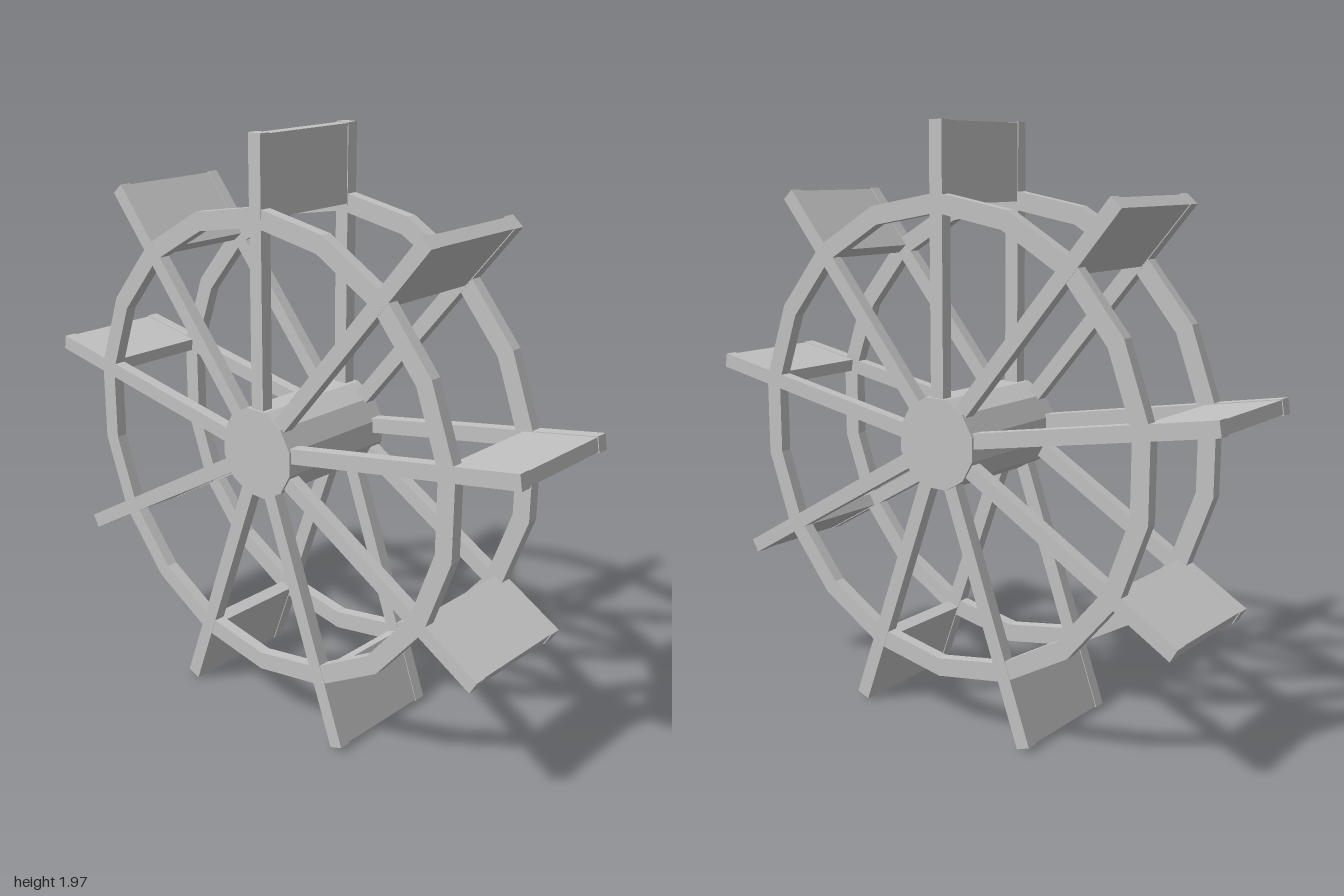
import * as THREE from 'three';

const SPOKES = 9;
const CENTRE_Y = 0.958;
const OUTER = 1.012; // spoke tip radius
const SIDE_Z = 0.198; // middle of each side frame
const SIDE_DEPTH = 0.041;

// Regular polygon with its first corner straight up
function polygon(PathType, radius, sides) {
  const path = new PathType();
  for (let i = 0; i < sides; i++) {
    const a = Math.PI / 2 + (i / sides) * Math.PI * 2;
    const x = radius * Math.cos(a), y = radius * Math.sin(a);
    if (i === 0) path.moveTo(x, y);
    else path.lineTo(x, y);
  }
  path.closePath();
  return path;
}

export function createModel() {
  const material = new THREE.MeshStandardMaterial({ color: 0xc2c2c2, flatShading: true });
  material.name = 'plain grey';

  const model = new THREE.Group();
  model.name = 'paddleWheel';
  const wheel = new THREE.Group();
  wheel.name = 'wheel';
  wheel.position.y = CENTRE_Y;
  model.add(wheel);

  const add = (parent, geometry, name) => {
    const mesh = new THREE.Mesh(geometry, material);
    mesh.name = name;
    parent.add(mesh);
    return mesh;
  };

  // Hub drum: twelve sides, flat on top
  const hub = new THREE.CylinderGeometry(0.153, 0.153, 0.454, 12, 1, false, Math.PI / 12);
  hub.rotateX(Math.PI / 2);
  add(wheel, hub, 'hub');

  // Two faceted rims, a corner at and between every spoke
  const ring = polygon(THREE.Shape, 0.792, SPOKES * 2);
  ring.holes.push(polygon(THREE.Path, 0.73, SPOKES * 2));
  const rimDepth = SIDE_DEPTH - 0.002;
  const rimGeometry = new THREE.ExtrudeGeometry(ring, { depth: rimDepth, bevelEnabled: false });
  rimGeometry.translate(0, 0, -rimDepth / 2);

  // Spokes and paddles point up, then are turned into place
  const spokeGeometry = new THREE.BoxGeometry(0.05, OUTER - 0.1, SIDE_DEPTH);
  spokeGeometry.translate(0, (OUTER + 0.1) / 2, 0);
  const inner = 0.755, outer = OUTER - 0.003;
  const paddleGeometry = new THREE.BoxGeometry(0.044, outer - inner, SIDE_Z * 2);
  paddleGeometry.translate(0, (inner + outer) / 2, 0);

  for (const side of [1, -1]) {
    add(wheel, rimGeometry, side > 0 ? 'frontRim' : 'backRim').position.z = side * SIDE_Z;
  }
  for (let i = 0; i < SPOKES; i++) {
    const arm = new THREE.Group();
    arm.name = `arm${i + 1}`;
    arm.rotation.z = (i / SPOKES) * Math.PI * 2;
    wheel.add(arm);
    add(arm, paddleGeometry, 'paddle');
    for (const side of [1, -1]) {
      add(arm, spokeGeometry, side > 0 ? 'frontSpoke' : 'backSpoke').position.z = side * SIDE_Z;
    }
  }
  return model;
}
